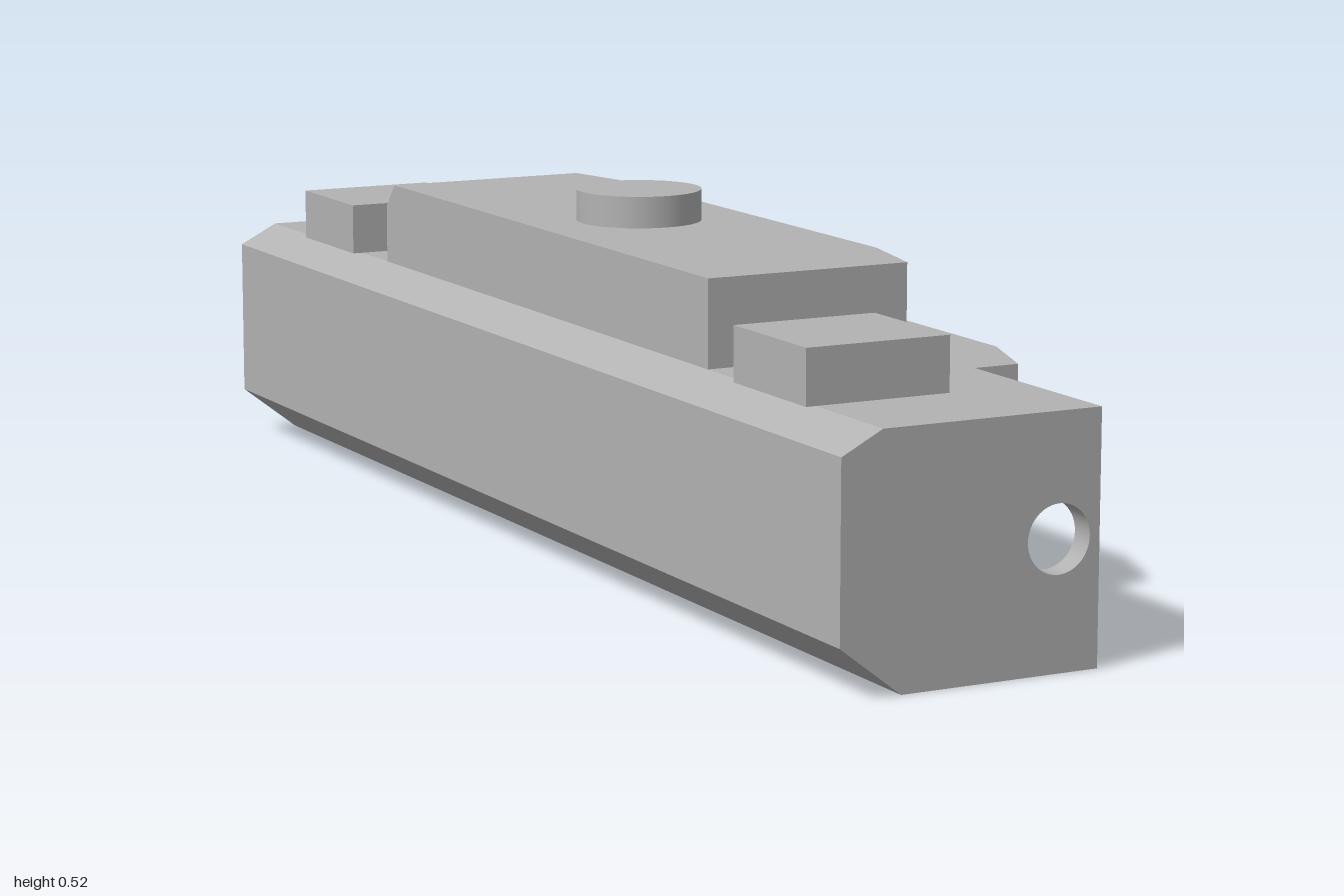
import * as THREE from 'three';
import { ConvexGeometry } from 'three/addons/geometries/ConvexGeometry.js';

export function createModel() {
  const model = new THREE.Group();
  const grey = new THREE.MeshStandardMaterial({ color: 0xb2b2b2 });
  grey.name = 'plain grey';

  const add = (name, geometry, x = 0, y = 0, z = 0) => {
    const mesh = new THREE.Mesh(geometry, grey);
    mesh.name = name;
    mesh.position.set(x, y, z);
    model.add(mesh);
    return mesh;
  };
  const polygon = (pts) => new THREE.Shape(pts.map(([x, y]) => new THREE.Vector2(x, y)));
  const circle = (x, y, r) => new THREE.Path().absarc(x, y, r, 0, Math.PI * 2, true);
  const extrude = (shape, depth) =>
    new THREE.ExtrudeGeometry(shape, { depth, bevelEnabled: false, curveSegments: 32 });
  // box given by its limits
  const block = (name, x0, x1, y0, y1, z0, z1) =>
    add(name, new THREE.BoxGeometry(x1 - x0, y1 - y0, z1 - z0),
      (x0 + x1) / 2, (y0 + y1) / 2, (z0 + z1) / 2);

  const wall = 0.018, side = 0.135, top = 0.346, inner = 0.965, half = 0.69;
  const section = (right) => polygon([
    [-0.25, 0.07], [-0.16, 0], [right, 0], [right, top], [-0.19, top], [-0.25, 0.315],
  ]);

  // Long chamfered bar
  add('mainBar', extrude(section(wall), inner * 2), 0, 0, -inner);

  // End plates with a round hole, and the roof and boss beside each
  for (const s of [1, -1]) {
    const plate = section(side);
    plate.holes.push(circle(0.073, 0.178, 0.047));
    add('endPlate', extrude(plate, 1 - inner), 0, 0, s > 0 ? inner : -1);
    const [a, b] = s > 0 ? [half, inner] : [-inner, -half];
    block('pocketRoof', wall, side, 0.31, top, a, b);
    const [c, d] = s > 0 ? [0.635, 0.83] : [-0.83, -0.635];
    block('topBoss', -0.205, 0.01, top, 0.423, c, d);
  }

  // Side flange with five countersunk holes
  const low = 0.194, thick = top - low, holeX = 0.12, rim = 0.08, throat = 0.065, sink = 0.02;
  const holeZ = [-0.46, -0.23, 0, 0.23, 0.46];
  const flange = polygon([
    [wall, -half], [0.204, -half], [0.25, -0.56], [0.25, 0.56], [0.204, half], [wall, half],
  ]);
  holeZ.forEach((z) => flange.holes.push(circle(holeX, z, rim)));
  add('sideFlange', extrude(flange, thick).rotateX(-Math.PI / 2), 0, low, 0);

  // Hole linings, one lathe per straight stretch so the rims stay sharp
  const stretches = [
    [[throat, sink], [rim, 0]],
    [[throat, thick - sink], [throat, sink]],
    [[rim, thick], [throat, thick - sink]],
  ];
  for (const z of holeZ) {
    for (const pts of stretches) {
      const line = pts.map(([r, y]) => new THREE.Vector2(r, y));
      add('holeLining', new THREE.LatheGeometry(line, 32), holeX, low, z);
    }
  }

  // Raised lid with cut corners and a chamfered back edge
  const lidTop = 0.47;
  const front = [[-0.19, 0.535], [0.12, 0.535], [0.15, 0.4], [0.15, -0.4]];
  const back = [[0.12, -0.535], [-0.19, -0.535]];
  const lid = [];
  for (const [x, z] of front) for (const y of [top, lidTop]) lid.push(new THREE.Vector3(x, y, z));
  for (const [x, z] of back) for (const y of [top, 0.434]) lid.push(new THREE.Vector3(x, y, z));
  lid.push(new THREE.Vector3(0.1267, lidTop, -0.505), new THREE.Vector3(-0.19, lidTop, -0.505));
  add('lid', new ConvexGeometry(lid));

  // Round button on the lid
  add('button', new THREE.CylinderGeometry(0.092, 0.092, 0.046, 48), -0.02, lidTop + 0.023, 0);

  return model;
}
